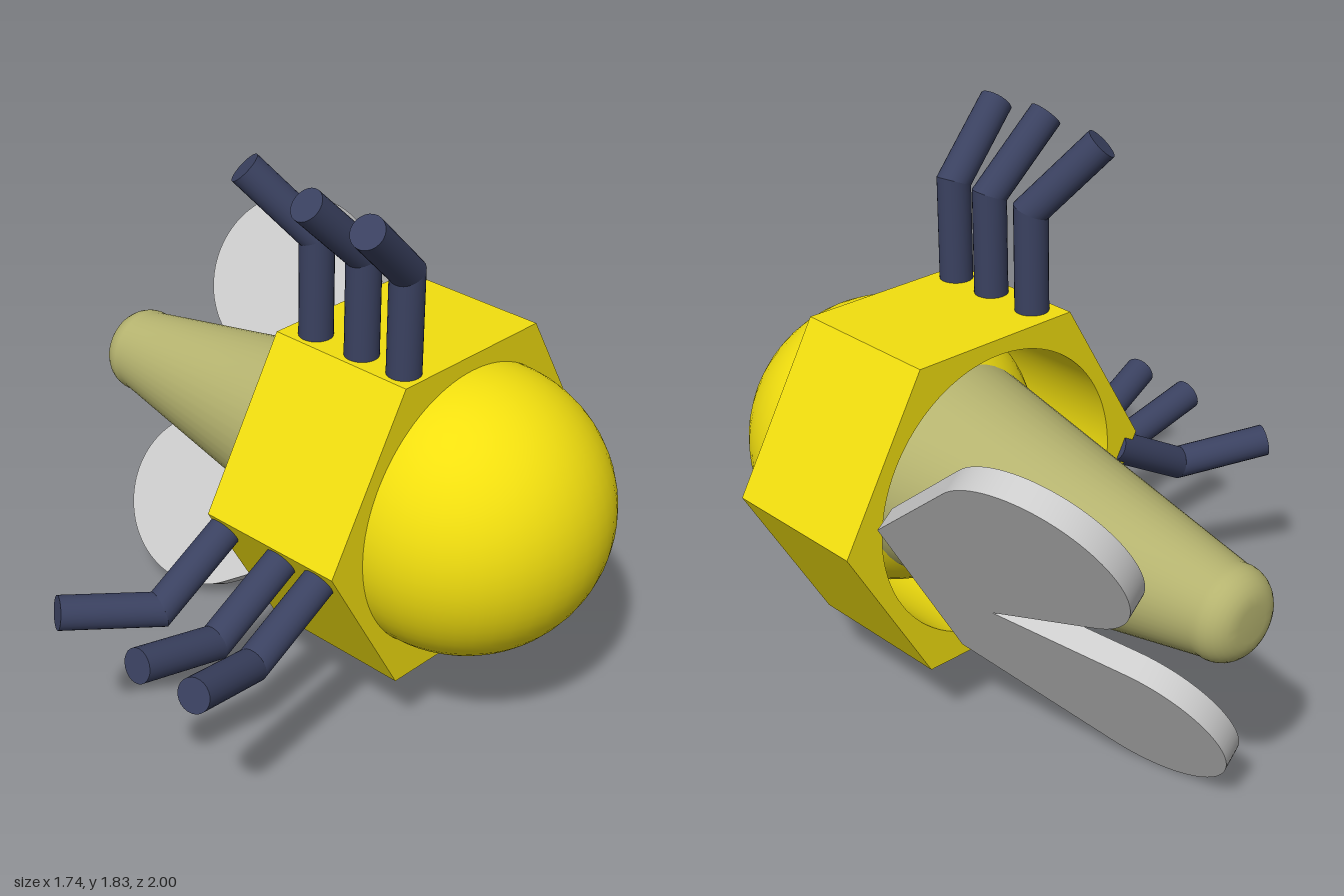
import * as THREE from 'three';
import { toCreasedNormals } from 'three/addons/utils/BufferGeometryUtils.js';

const CX = 0.27, CY = 0.77;            // axis of the body
const R = 0.46;                        // head and bore radius
const V = (x, y, z) => new THREE.Vector3(x, y, z);
const mat = (color) => new THREE.MeshStandardMaterial({ color });

export function createModel() {
  const model = new THREE.Group();
  const yellow = mat(0xf2df0f), olive = mat(0xb5b36f), navy = mat(0x3a4160), grey = mat(0xcccccc);

  const add = (name, geometry, material, parent = model) => {
    const mesh = new THREE.Mesh(geometry, material);
    mesh.name = name;
    parent.add(mesh);
    return mesh;
  };

  // Hexagonal nut body with a round bore
  const hex = new THREE.Shape();
  for (let i = 0; i < 6; i++) {
    const a = i * Math.PI / 3, x = 0.59 * Math.cos(a), y = 0.59 * Math.sin(a);
    if (i) hex.lineTo(x, y); else hex.moveTo(x, y);
  }
  hex.closePath();
  hex.holes.push(new THREE.Path().absarc(0, 0, R, 0, Math.PI * 2, true));
  const nut = new THREE.ExtrudeGeometry(hex, { depth: 0.515, bevelEnabled: false, curveSegments: 48 });
  add('body', toCreasedNormals(nut, 0.5), yellow).position.set(CX, CY, 0.025);

  // Ball head seated in the bore
  add('head', new THREE.SphereGeometry(R, 48, 32), yellow).position.set(CX, CY, 0.54);

  // Tapered abdomen with a rounded, flat-tipped end; profile runs from tip to base
  const profile = [new THREE.Vector2(0, -1)];
  for (let i = 0; i <= 8; i++) {
    const a = -Math.PI / 2 + i / 8 * 1.75;
    profile.push(new THREE.Vector2(0.055 + 0.09 * Math.cos(a), -0.91 + 0.09 * Math.sin(a)));
  }
  profile.push(new THREE.Vector2(0.355, 0.3));
  const abdomen = add('abdomen', toCreasedNormals(new THREE.LatheGeometry(profile, 48), 0.6), olive);
  abdomen.rotation.x = Math.PI / 2;
  abdomen.position.set(CX, CY, 0);

  // Pair of wings: one flat heart-shaped plate lying along the abdomen
  const deg = Math.PI / 180, wing = new THREE.Shape();
  wing.moveTo(-0.306, 0);
  wing.lineTo(0.306, 0);
  wing.absarc(0.41, 0.62, 0.3, -38 * deg, 164.2 * deg, false);
  wing.lineTo(0, 0.275);
  wing.absarc(-0.41, 0.62, 0.3, 15.8 * deg, 218 * deg, false);
  wing.closePath();
  const wings = add('wings', toCreasedNormals(
    new THREE.ExtrudeGeometry(wing, { depth: 0.08, bevelEnabled: false, curveSegments: 32 }), 0.4), grey);
  const back = V(Math.cos(-30 * deg), Math.sin(-30 * deg), 0);   // the insect's upward direction
  const across = V(-0.5, -Math.sqrt(3) / 2, 0);
  const along = V(0, 0, -Math.cos(10 * deg)).addScaledVector(back, -Math.sin(10 * deg));
  const normal = across.clone().cross(along);
  wings.quaternion.setFromRotationMatrix(new THREE.Matrix4().makeBasis(across, along, normal));
  wings.position.copy(V(CX, CY, 0.02).addScaledVector(back, 0.31));

  // Leg segment; its joint end is mitred to the plane with the given normal
  const segment = (from, to, joint, plane) => {
    const dir = to.clone().sub(from), length = dir.length();
    dir.normalize();
    const g = new THREE.CylinderGeometry(0.053, 0.053, length, 24);
    g.applyQuaternion(new THREE.Quaternion().setFromUnitVectors(V(0, 1, 0), dir));
    g.translate(...from.clone().add(to).multiplyScalar(0.5).toArray());
    const p = g.attributes.position, v = V(0, 0, 0);
    for (let i = 0; i < p.count; i++) {
      v.fromBufferAttribute(p, i);
      const d = v.clone().sub(joint);
      if (Math.abs(d.dot(dir)) > 0.001) continue;
      v.addScaledVector(dir, -d.dot(plane) / dir.dot(plane));
      p.setXYZ(i, v.x, v.y, v.z);
    }
    return g;
  };
  const addLeg = (name, base, elbow, tip) => {
    const leg = new THREE.Group();
    leg.name = name;
    model.add(leg);
    const plane = elbow.clone().sub(base).normalize().add(tip.clone().sub(elbow).normalize());
    add('upperLeg', segment(base, elbow, elbow, plane), navy, leg);
    add('lowerLeg', segment(elbow, tip, elbow, plane), navy, leg);
  };

  // Three legs on the top facet and three on the lower right facet
  const topLegs = [
    { z: 0.47, tip: V(-0.17, 1.8, 0.51) },
    { z: 0.305, tip: V(-0.17, 1.81, 0.283) },
    { z: 0.12, tip: V(-0.1, 1.81, -0.03) },
  ];
  const sideLegs = [
    { z: 0.455, tip: V(-0.85, 0.64, 0.525) },
    { z: 0.3, tip: V(-0.855, 0.625, 0.298) },
    { z: 0.06, tip: V(-0.825, 0.6, -0.09) },
  ];
  topLegs.forEach(({ z, tip }, i) =>
    addLeg(`topLeg${i + 1}`, V(0.045, 1.24, z), V(0.045, 1.6, z), tip));
  sideLegs.forEach(({ z, tip }, i) =>
    addLeg(`sideLeg${i + 1}`, V(-0.25, 0.73, z), V(-0.558, 0.555, z), tip));

  return model;
}
